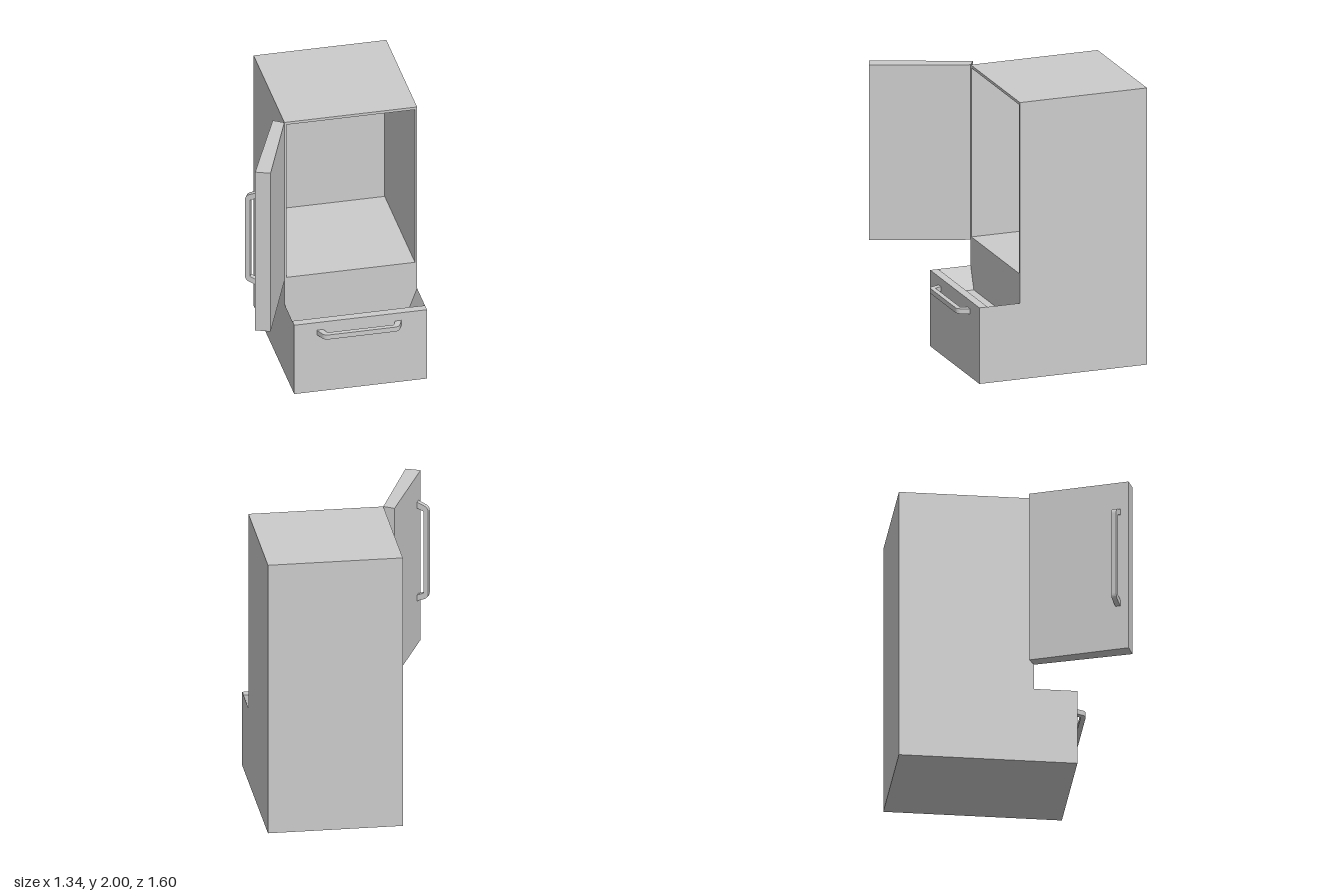
import * as THREE from 'three';

const material = new THREE.MeshStandardMaterial({ color: 0xcccccc, flatShading: true });

const shapeOf = (points) => new THREE.Shape(points.map(([x, y]) => new THREE.Vector2(x, y)));

const rect = (x0, y0, x1, y1) => [[x0, y0], [x1, y0], [x1, y1], [x0, y1]];

function part(name, geometry) {
  const mesh = new THREE.Mesh(geometry, material);
  mesh.name = name;
  return mesh;
}

function box(name, x0, x1, y0, y1, z0, z1) {
  const g = new THREE.BoxGeometry(x1 - x0, y1 - y0, z1 - z0);
  g.translate((x0 + x1) / 2, (y0 + y1) / 2, (z0 + z1) / 2);
  return part(name, g);
}

const extrude = (shape, depth) =>
  new THREE.ExtrudeGeometry(shape, { depth, bevelEnabled: false, curveSegments: 5 });

// Bar handle along x, standing out in +z, with splayed legs and rounded outer corners
function handle(name, length) {
  const h = length / 2;
  const s = new THREE.Shape();
  s.moveTo(-h, 0);
  s.lineTo(-h + 0.023, 0.055);
  s.quadraticCurveTo(-h + 0.035, 0.083, -h + 0.065, 0.083);
  s.lineTo(h - 0.065, 0.083);
  s.quadraticCurveTo(h - 0.035, 0.083, h - 0.023, 0.055);
  s.lineTo(h, 0);
  s.lineTo(h - 0.045, 0);
  s.lineTo(h - 0.065, 0.048);
  s.lineTo(-h + 0.065, 0.048);
  s.lineTo(-h + 0.045, 0);
  s.closePath();
  const thickness = 0.036;
  const g = extrude(s, thickness);
  g.rotateX(Math.PI / 2);
  g.translate(0, thickness / 2, 0);
  return part(name, g);
}

export function createModel() {
  const model = new THREE.Group();
  model.name = 'openCabinet';

  // Cabinet shell with the open upper compartment
  const frame = shapeOf(rect(-0.27, 0, 0.67, 2));
  frame.holes.push(shapeOf(rect(-0.255, 0.76, 0.655, 1.98)));
  const shell = part('cabinetShell', extrude(frame, 0.925));
  shell.position.z = -0.785;
  model.add(shell, box('backPanel', -0.27, 0.67, 0, 2, -0.8, -0.785));

  // Pulled-out drawer: trough with sloping inner sides, then the front panel
  const trough = shapeOf([
    [-0.27, 0], [0.67, 0], [0.67, 0.55], [0.61, 0.39], [-0.21, 0.39], [-0.27, 0.55],
  ]);
  const drawer = part('drawerTrough', extrude(trough, 0.24));
  drawer.position.z = 0.14;
  model.add(drawer, box('drawerFront', -0.27, 0.67, 0, 0.55, 0.38, 0.44));

  const drawerHandle = handle('drawerHandle', 0.6);
  drawerHandle.position.set(0.19, 0.472, 0.44);
  model.add(drawerHandle);

  // Door swung open on the cabinet's right edge
  const plan = shapeOf([[-0.27, 0.14], [-0.52, 0.795], [-0.62, 0.755], [-0.342, 0.095]]);
  const doorGeometry = extrude(plan, 1.265);
  doorGeometry.rotateX(Math.PI / 2);
  doorGeometry.translate(0, 2, 0);
  model.add(part('door', doorGeometry));

  // Upright handle on the door's outer face
  const out = new THREE.Vector3(-0.89, 0, -0.46).normalize();
  const up = new THREE.Vector3(0, 1, 0);
  const across = new THREE.Vector3().crossVectors(out, up);
  const doorHandle = handle('doorHandle', 0.74);
  doorHandle.quaternion.setFromRotationMatrix(new THREE.Matrix4().makeBasis(up, across, out));
  doorHandle.position.set(-0.588, 1.43, 0.685);
  model.add(doorHandle);

  return model;
}
